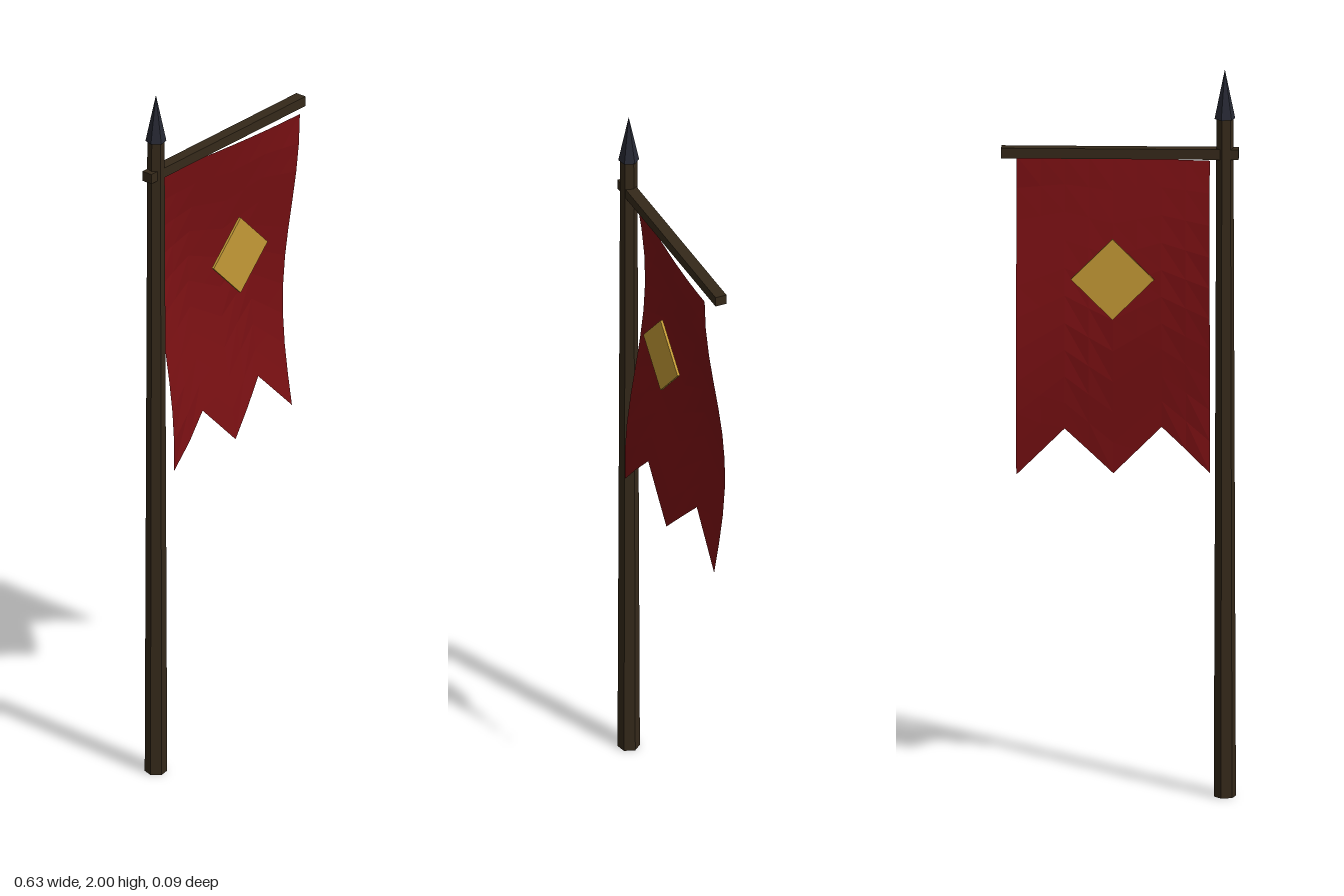
import * as THREE from 'three';

const POLE_X = -0.28;

function material(name, color, side = THREE.FrontSide) {
  const m = new THREE.MeshStandardMaterial({ color, flatShading: true, side });
  m.name = name;
  return m;
}

// Cloth hanging in waves, with a swallow-tailed lower edge of three points
function clothGeometry() {
  const left = -0.24, right = 0.277, top = 1.75;
  const geo = new THREE.PlaneGeometry(1, 1, 8, 10);
  const p = geo.attributes.position;
  for (let i = 0; i < p.count; i++) {
    const u = p.getX(i) + 0.5;
    const v = 0.5 - p.getY(i);
    const x = left + (right - left) * u;
    const zigzag = 1 - Math.abs(((u * 2) % 1) * 2 - 1);
    const drop = v * (top - (0.88 + 0.13 * zigzag));
    const z = 0.03 * Math.cos(5.5 * drop + 1.8 * (1 - u));
    p.setXYZ(i, x, top - drop, z);
  }
  geo.computeVertexNormals();
  return geo;
}

export function createModel() {
  const wood = material('darkWood', 0x35291a);
  const iron = material('darkIron', 0x262833);
  const red = material('redCloth', 0x7a1013, THREE.DoubleSide);
  const gold = material('gold', 0xc49a36);

  const model = new THREE.Group();
  model.name = 'banner';
  const add = (name, geo, mat, x, y, z = 0) => {
    const mesh = new THREE.Mesh(geo, mat);
    mesh.name = name;
    mesh.position.set(x, y, z);
    model.add(mesh);
    return mesh;
  };

  // Tapered pole and spear tip
  add('pole', new THREE.CylinderGeometry(0.023, 0.03, 1.87, 6).rotateY(Math.PI / 6 + 0.2), wood, POLE_X, 0.935);
  add('spearTip', new THREE.ConeGeometry(0.028, 0.135, 6).rotateY(Math.PI / 6 + 0.2), iron, POLE_X, 1.9325);

  // Crossbar carrying the cloth
  add('crossbar', new THREE.BoxGeometry(0.634, 0.028, 0.032), wood, 0, 1.769);
  add('cloth', clothGeometry(), red, 0, 0);

  // Diamond emblem on each face
  for (const [name, z] of [['frontDiamond', 0.039], ['backDiamond', -0.041]]) {
    add(name, new THREE.BoxGeometry(0.157, 0.157, 0.007), gold, 0.019, 1.43, z).rotation.z = Math.PI / 4;
  }
  return model;
}
